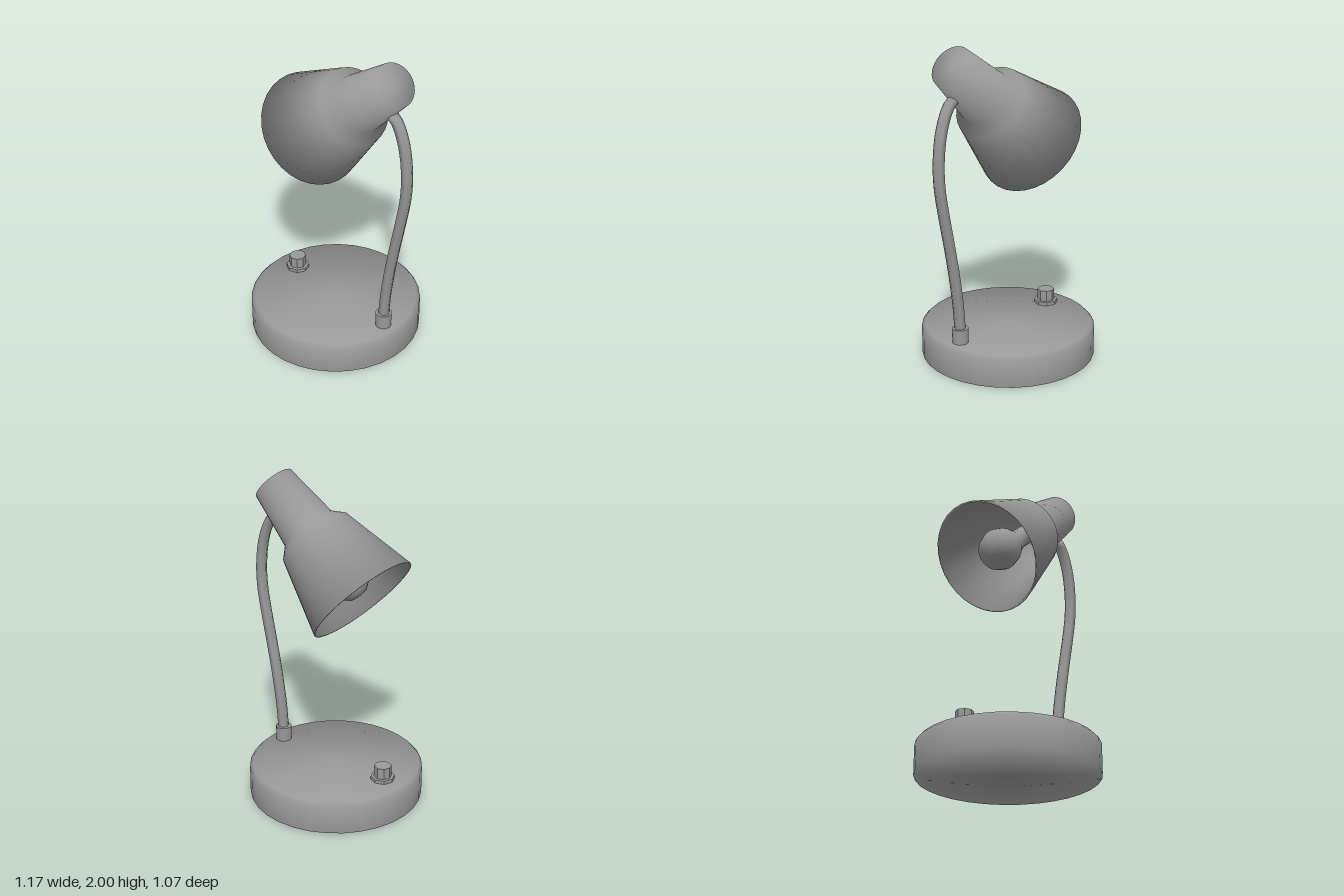
import * as THREE from 'three';
import { mergeVertices } from 'three/addons/utils/BufferGeometryUtils.js';

const material = new THREE.MeshStandardMaterial({ color: 0x999999 });
const facetedMaterial = new THREE.MeshStandardMaterial({ color: 0x999999, flatShading: true });

function add(parent, name, geometry, mat, x = 0, y = 0, z = 0) {
  const mesh = new THREE.Mesh(geometry, mat);
  mesh.name = name;
  mesh.position.set(x, y, z);
  parent.add(mesh);
  return mesh;
}

// Turned shape from [radius, height, tilt]; tilt is the angle in degrees of
// the smooth normal above the horizontal, so shading blends across edges
function turned(profile, segments = 32) {
  const geometry = new THREE.LatheGeometry(profile.map(([r, y]) => new THREE.Vector2(r, y)), segments);
  const normals = geometry.attributes.normal;
  for (let i = 0; i < normals.count; i++) {
    const around = Math.floor(i / profile.length) / segments * Math.PI * 2;
    const tilt = THREE.MathUtils.degToRad(profile[i % profile.length][2]);
    normals.setXYZ(i, Math.sin(around) * Math.cos(tilt), Math.sin(tilt), Math.cos(around) * Math.cos(tilt));
  }
  return geometry;
}

// Upright cylinder standing on y
function post(parent, name, radius, height, x, y, sides, mat) {
  const geometry = new THREE.CylinderGeometry(radius, radius, height, sides);
  return add(parent, name, geometry, mat, x, y + height / 2);
}

// Six-sided rod swept along a path, with closed ends and smooth shading
function rod(path, radius, steps) {
  const section = new THREE.Shape();
  for (let i = 0; i < 6; i++) {
    const a = i / 6 * Math.PI * 2;
    section[i ? 'lineTo' : 'moveTo'](radius * Math.sin(a), radius * Math.cos(a));
  }
  const swept = new THREE.ExtrudeGeometry(section, { steps, extrudePath: path, bevelEnabled: false });
  swept.deleteAttribute('normal');
  swept.deleteAttribute('uv');
  const geometry = mergeVertices(swept);
  geometry.computeVertexNormals();
  return geometry;
}

export function createModel() {
  const lamp = new THREE.Group();
  lamp.name = 'deskLamp';

  // Round base with a bevelled top edge
  add(lamp, 'base', turned([[0, 0, -90], [0.537, 0, -6], [0.537, 0.178, 20], [0.516, 0.2, 55], [0, 0.2, 90]]),
    material, -0.05);

  // Switch: flat washer and knob
  const knob = new THREE.Group();
  knob.name = 'switch';
  lamp.add(knob);
  post(knob, 'switchWasher', 0.073, 0.03, -0.418, 0.192, 8, facetedMaterial);
  post(knob, 'switchKnob', 0.053, 0.1, -0.418, 0.192, 8, facetedMaterial);

  // Collar and curved stem
  post(lamp, 'stemCollar', 0.05, 0.1, 0.385, 0.192, 12, material);
  const path = new THREE.CatmullRomCurve3([
    [0.385, 0.25], [0.398, 0.42], [0.427, 0.62], [0.465, 0.82], [0.507, 1.02],
    [0.54, 1.2], [0.547, 1.33], [0.533, 1.48], [0.503, 1.59], [0.46, 1.672], [0.418, 1.706],
  ].map(([x, y]) => new THREE.Vector3(x, y, 0)));
  add(lamp, 'stem', rod(path, 0.035, 32), material);

  // Tilted head, built along its own axis from the open rim upwards
  const head = new THREE.Group();
  head.name = 'head';
  head.position.set(-0.25, 1.33, 0);
  head.rotation.z = -0.876;
  lamp.add(head);

  // Thin-walled shade: down the inside, round the rim, up the outside
  add(head, 'shade', turned([
    [0, 0.877, 270], [0.121, 0.877, 228], [0.163, 0.53, 205], [0.224, 0.465, 208], [0.341, 0, 232],
    [0.351, 0, -38], [0.234, 0.468, 28], [0.173, 0.534, 25], [0.131, 0.887, 48], [0, 0.887, 90],
  ]), material);

  // Bulb inside the shade
  add(head, 'bulb', turned([
    [0, 0.03, -90], [0.06, 0.043, -62], [0.11, 0.085, -35], [0.13, 0.15, 0], [0.117, 0.22, 18],
    [0.075, 0.31, 20], [0.06, 0.38, 5], [0.06, 0.6, 0], [0, 0.6, 90],
  ], 20), material);

  return lamp;
}
